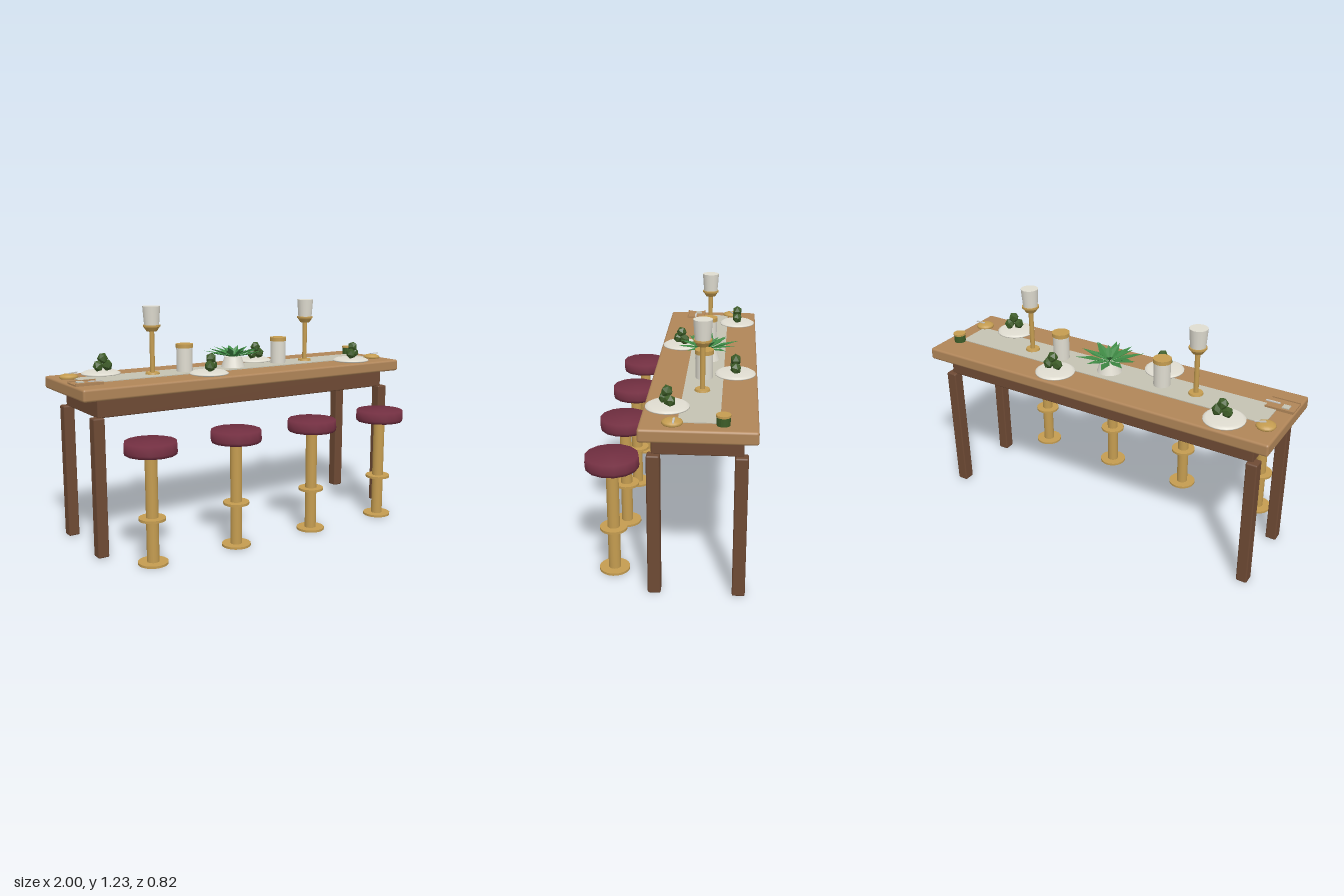
import * as THREE from 'three';
import { RoundedBoxGeometry } from 'three/addons/geometries/RoundedBoxGeometry.js';

const material = (name, color, extra = {}) => {
  const m = new THREE.MeshStandardMaterial({ color, ...extra });
  m.name = name;
  return m;
};

export function createModel() {
  const oak = material('oak', 0xb08558);
  const walnut = material('walnut', 0x6e4a34);
  const maroon = material('maroon', 0x722f41);
  const gold = material('gold', 0xc49c50);
  const ivory = material('ivory', 0xdfdcd0);
  const linen = material('linen', 0xc4c2b2);
  const moss = material('moss', 0x3d5c27, { flatShading: true });
  const leafGreen = material('leafGreen', 0x3f8a45, { side: THREE.DoubleSide, flatShading: true });
  const steel = material('steel', 0xc9c9c6);

  const root = new THREE.Group();
  root.name = 'diningSet';
  const MID = -0.145; // table centre line in z
  const TOP = 0.872; // table surface

  const add = (parent, name, geometry, mat, x = 0, y = 0, z = 0) => {
    const mesh = new THREE.Mesh(geometry, mat);
    mesh.name = name;
    mesh.position.set(x, y, z);
    parent.add(mesh);
    return mesh;
  };
  const group = (name, x, y, z) => {
    const g = new THREE.Group();
    g.name = name;
    g.position.set(x, y, z);
    root.add(g);
    return g;
  };
  // Cylinder standing on height y
  const drum = (parent, name, mat, rTop, rBottom, y, h, sides = 16) =>
    add(parent, name, new THREE.CylinderGeometry(rTop, rBottom, h, sides), mat, 0, y + h / 2, 0);
  const lathe = (points, sides = 20) =>
    new THREE.LatheGeometry(points.map(([r, y]) => new THREE.Vector2(r, y)), sides);

  // Table
  add(root, 'tabletop', new RoundedBoxGeometry(2, 0.064, 0.535, 2, 0.012), oak, 0, 0.84, MID);
  add(root, 'apron', new RoundedBoxGeometry(1.82, 0.095, 0.42, 1, 0.006), walnut, 0, 0.762, -0.14);
  for (const x of [-0.91, 0.91]) {
    for (const z of [0.06, -0.34]) {
      add(root, 'tableLeg', new RoundedBoxGeometry(0.06, 0.715, 0.062, 1, 0.008), walnut, x, 0.3605, z);
    }
  }
  add(root, 'runner', new THREE.BoxGeometry(1.82, 0.008, 0.19), linen, 0, TOP, MID);

  // Stools: one continuous lathe gives the cushion its soft shading
  const cushion = lathe([[0, 0.56], [0.129, 0.56], [0.133, 0.575], [0.13, 0.622], [0, 0.625]], 14);
  for (const x of [-0.73, -0.245, 0.24, 0.725]) {
    const stool = group('stool', x, 0, 0.278);
    add(stool, 'stoolSeat', cushion, maroon);
    drum(stool, 'stoolPost', gold, 0.031, 0.031, 0.005, 0.56);
    drum(stool, 'footRing', gold, 0.068, 0.068, 0.226, 0.013, 20);
    drum(stool, 'stoolBase', gold, 0.076, 0.076, 0, 0.012, 20);
  }

  // Candle holders
  for (const x of [-0.503, 0.497]) {
    const candle = group('candleHolder', x, TOP, MID + 0.003);
    drum(candle, 'candleFoot', gold, 0.036, 0.04, 0, 0.014);
    drum(candle, 'candleStem', gold, 0.013, 0.013, 0.005, 0.235, 12);
    drum(candle, 'candleCup', gold, 0.045, 0.027, 0.23, 0.027);
    drum(candle, 'candleCupRim', gold, 0.046, 0.046, 0.254, 0.01);
    drum(candle, 'candleShade', ivory, 0.047, 0.039, 0.26, 0.102);
  }

  // Lidded jars
  for (const x of [-0.31, 0.305]) {
    const jar = group('jar', x, TOP, MID + 0.003);
    drum(jar, 'jarBody', ivory, 0.044, 0.044, 0, 0.135);
    drum(jar, 'jarLid', gold, 0.048, 0.048, 0.132, 0.021);
  }

  // Plates with three green florets in a row, the middle one raised
  const plateShape = lathe([[0, -0.002], [0.085, -0.002], [0.105, 0.004], [0.104, 0.009], [0.088, 0.018], [0, 0.018]], 24);
  const floret = new THREE.IcosahedronGeometry(0.029, 0);
  [[-0.73, -0.3, 0], [0.24, -0.3, 0.05], [-0.245, 0.01, 0.8], [0.725, 0.01, 0.55]].forEach(([x, z, turn]) => {
    const setting = group('plateSetting', x, TOP, z);
    add(setting, 'plate', plateShape, ivory);
    const food = new THREE.Group();
    food.name = 'greens';
    food.position.set(0.012, 0, 0);
    food.rotation.y = turn;
    setting.add(food);
    [-1, 0, 1].forEach((i) => {
      const f = add(food, 'floret', floret, moss, i * 0.026, i ? 0.046 : 0.084, 0);
      f.rotation.set(i * 0.4, i * 0.9, 0);
      f.scale.y = 1.12;
    });
  });

  // Potted plant: folded pointed leaves in three rings
  const plant = group('pottedPlant', 0, TOP, MID);
  drum(plant, 'pot', ivory, 0.048, 0.068, 0, 0.062, 18);
  const leafShape = (length, width, rise) => {
    const g = new THREE.BufferGeometry();
    const m = length * 0.5;
    g.setAttribute('position', new THREE.Float32BufferAttribute([
      0, 0, 0, m, rise * 0.65, width / 2, m, rise * 0.5, 0,
      m, rise * 0.65, -width / 2, length, rise, 0], 3));
    g.setIndex([0, 1, 2, 0, 2, 3, 2, 1, 4, 2, 4, 3]);
    g.computeVertexNormals();
    return g;
  };
  [[10, 0.168, 0.046, 0.035, 0], [7, 0.13, 0.042, 0.052, 0.3], [4, 0.07, 0.034, 0.06, 0.6]].forEach(
    ([count, length, width, rise, start]) => {
      for (let i = 0; i < count; i++) {
        const stretch = 1 + 0.08 * Math.sin(i * 2.4);
        const leaf = add(plant, 'leaf', leafShape(length * stretch, width, rise), leafGreen, 0, 0.058, 0);
        leaf.rotation.y = start + (i * Math.PI * 2) / count;
      }
    });

  // Shallow condiment dishes, each with a small spoon
  const dishShape = lathe([[0, -0.002], [0.044, -0.002], [0.049, 0.006], [0.046, 0.014], [0.03, 0.022], [0, 0.024]]);
  for (const [x, z, turn] of [[-0.925, -0.26, 0.4], [0.92, -0.028, 0]]) {
    const dish = group('condimentDish', x, TOP, z);
    add(dish, 'dish', dishShape, gold);
    const spoon = add(dish, 'spoon', new THREE.BoxGeometry(0.055, 0.005, 0.009), steel, 0.027, 0.026, -0.008);
    spoon.rotation.y = turn;
  }

  // Green tin with a gold lid
  const tin = group('tin', 0.92, TOP, -0.255);
  drum(tin, 'tinBody', moss, 0.031, 0.031, 0, 0.042);
  drum(tin, 'tinLid', gold, 0.034, 0.034, 0.04, 0.01);

  // Cutlery tray
  const tray = group('cutleryTray', -0.922, TOP, -0.038);
  add(tray, 'trayBase', new THREE.BoxGeometry(0.146, 0.008, 0.108), oak, 0, 0.004, 0);
  for (const z of [-0.051, 0.051]) {
    add(tray, 'trayEdge', new THREE.BoxGeometry(0.146, 0.014, 0.006), oak, 0, 0.007, z);
  }
  add(tray, 'knifeBlade', new THREE.BoxGeometry(0.075, 0.005, 0.01), steel, 0.05, 0.012, 0.002);
  add(tray, 'napkin', new THREE.BoxGeometry(0.036, 0.005, 0.036), linen, -0.025, 0.011, -0.015);

  return root;
}
